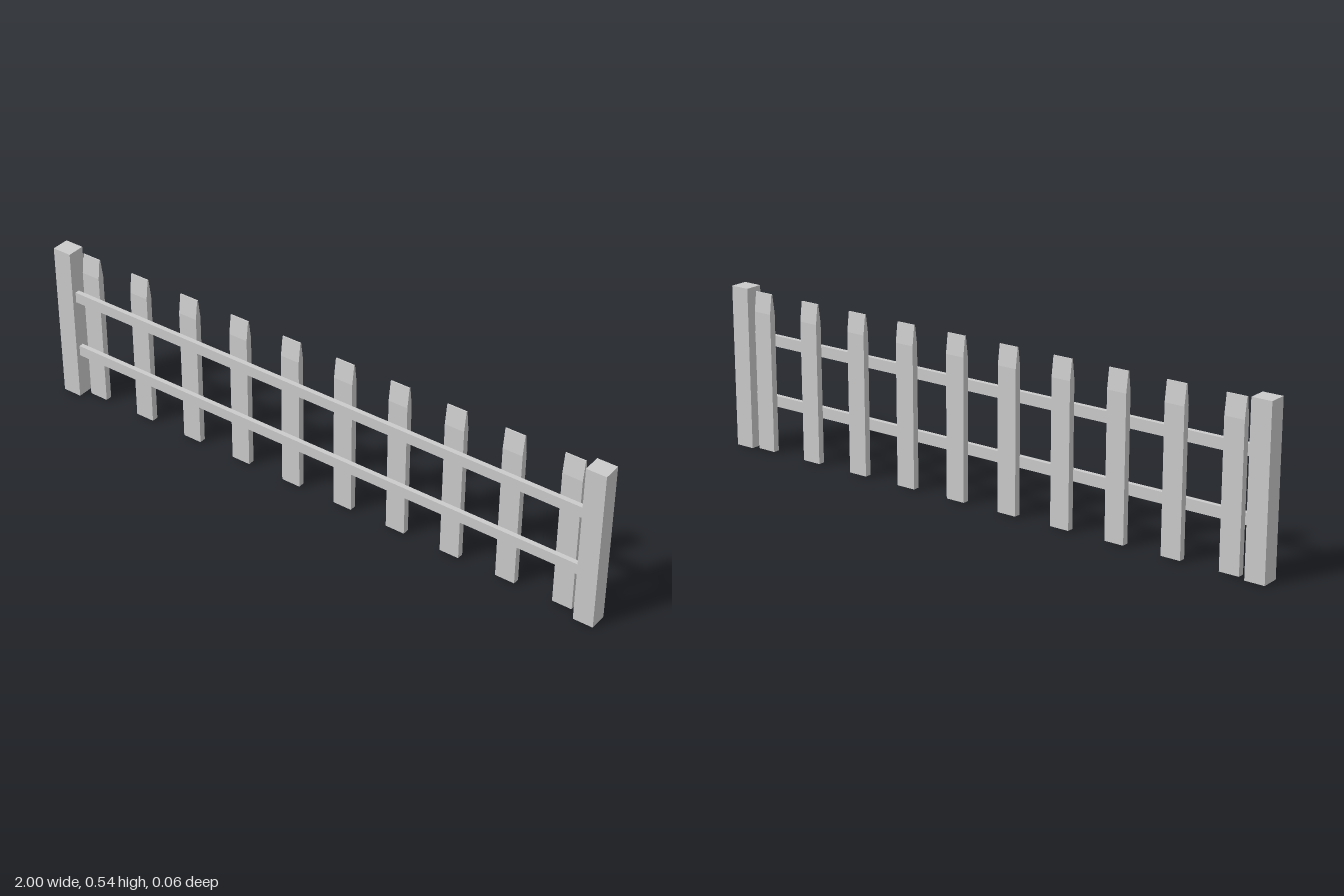
import * as THREE from 'three';

export function createModel() {
  const fence = new THREE.Group();
  fence.name = 'picketFence';
  const material = new THREE.MeshStandardMaterial({ color: 0xcccccc, flatShading: true });

  function add(name, geometry, x, y, z) {
    const mesh = new THREE.Mesh(geometry, material);
    mesh.name = name;
    mesh.position.set(x, y, z);
    fence.add(mesh);
  }

  // Square end posts
  const postGeometry = new THREE.BoxGeometry(0.066, 0.538, 0.06);
  add('leftPost', postGeometry, 0.967, 0.269, 0);
  add('rightPost', postGeometry, -0.967, 0.269, 0);

  // Horizontal rails between the posts
  const railGeometry = new THREE.BoxGeometry(1.868, 0.036, 0.016);
  add('lowerRail', railGeometry, 0, 0.17, 0.008);
  add('upperRail', railGeometry, 0, 0.373, 0.008);

  // Pickets: side profile (z, y) tapered front and back to a narrow ridge
  const width = 0.066, depth = 0.022, height = 0.53, shoulder = 0.465;
  const profile = new THREE.Shape([
    [-depth / 2, 0.003], [depth / 2, 0.003], [depth / 2, shoulder],
    [0.002, height], [-0.002, height], [-depth / 2, shoulder],
  ].map(([z, y]) => new THREE.Vector2(z, y)));
  const picketGeometry = new THREE.ExtrudeGeometry(profile, { depth: width, bevelEnabled: false });
  picketGeometry.translate(0, 0, -width / 2).rotateY(Math.PI / 2);

  const count = 10, spacing = 0.1953;
  for (let i = 0; i < count; i++) {
    add(`picket${i + 1}`, picketGeometry, (i - (count - 1) / 2) * spacing, 0, -depth / 2);
  }
  return fence;
}
